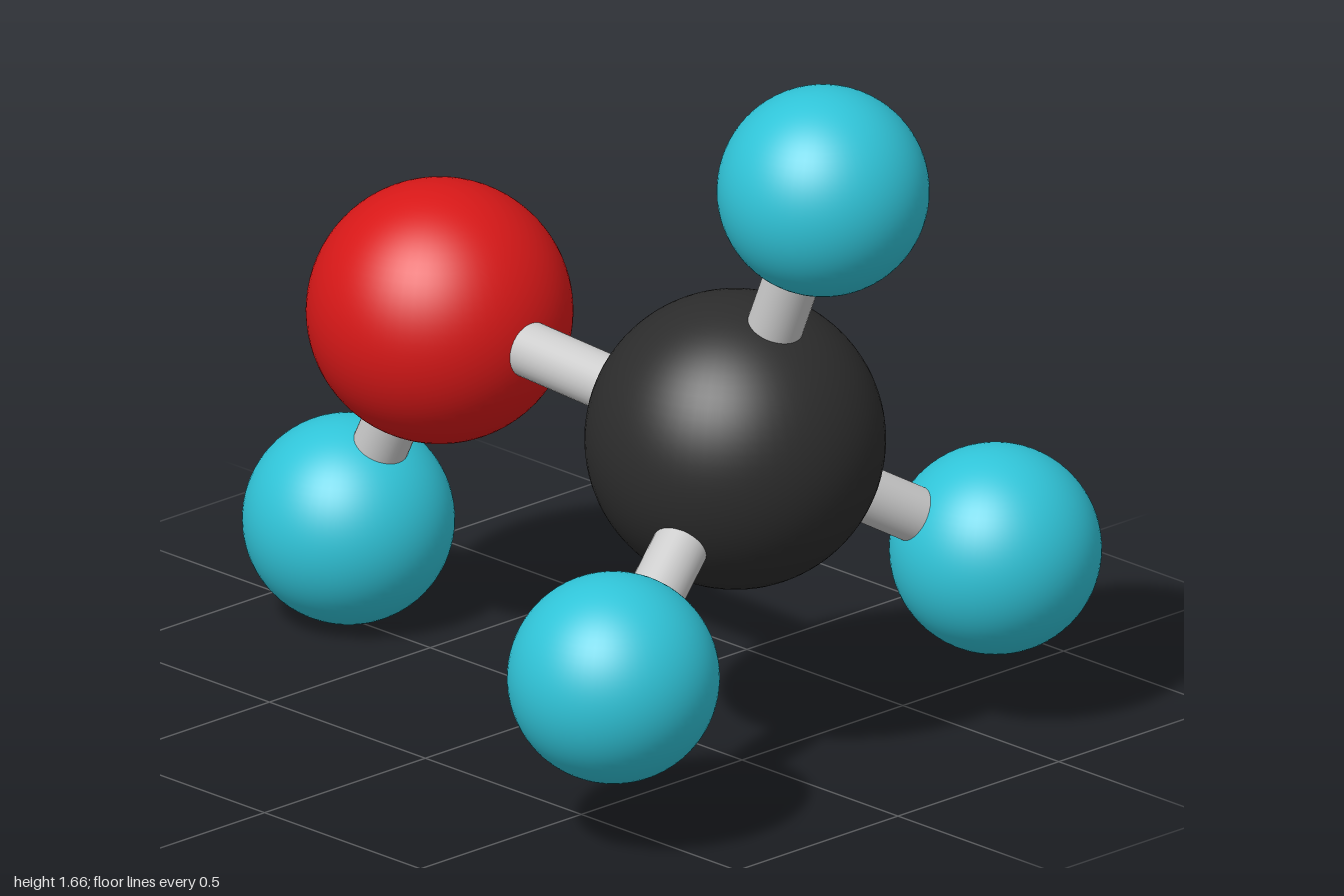
import * as THREE from 'three';

export function createModel() {
  const model = new THREE.Group();
  model.name = 'moleculeModel';

  const black = new THREE.MeshStandardMaterial({ color: 0x2c2c2c });
  const red = new THREE.MeshStandardMaterial({ color: 0xd81818 });
  const cyan = new THREE.MeshStandardMaterial({ color: 0x30c4d8 });
  const grey = new THREE.MeshStandardMaterial({ color: 0xcccccc });

  // Ball at a given centre; returns the centre for use by the rods
  function ball(name, radius, material, x, y, z) {
    const mesh = new THREE.Mesh(new THREE.SphereGeometry(radius, 64, 40), material);
    mesh.name = name;
    mesh.position.set(x, y, z);
    model.add(mesh);
    return mesh.position;
  }

  // Rod joining two ball centres
  function rod(name, a, b) {
    const dir = b.clone().sub(a);
    const mesh = new THREE.Mesh(new THREE.CylinderGeometry(0.064, 0.064, dir.length(), 32), grey);
    mesh.name = name;
    mesh.position.copy(a).add(b).multiplyScalar(0.5);
    mesh.quaternion.setFromUnitVectors(new THREE.Vector3(0, 1, 0), dir.normalize());
    model.add(mesh);
  }

  // Two large balls and the rod between them
  const carbon = ball('carbonBall', 0.337, black, 0.478, 0.76, 0);
  const oxygen = ball('oxygenBall', 0.299, red, -0.47, 0.813, 0);
  rod('centralRod', oxygen, carbon);

  // Small balls, each joined to its large ball
  const small = [
    ['upper', carbon, 0.76, 1.427, 0],
    ['frontLower', carbon, 0.7, 0.405, 0.594],
    ['backLower', carbon, 0.7, 0.405, -0.594],
    ['rightLower', oxygen, -0.762, 0.239, 0],
  ];
  for (const [name, parent, x, y, z] of small) {
    rod(name + 'Rod', parent, ball(name + 'HydrogenBall', 0.238, cyan, x, y, z));
  }

  return model;
}
